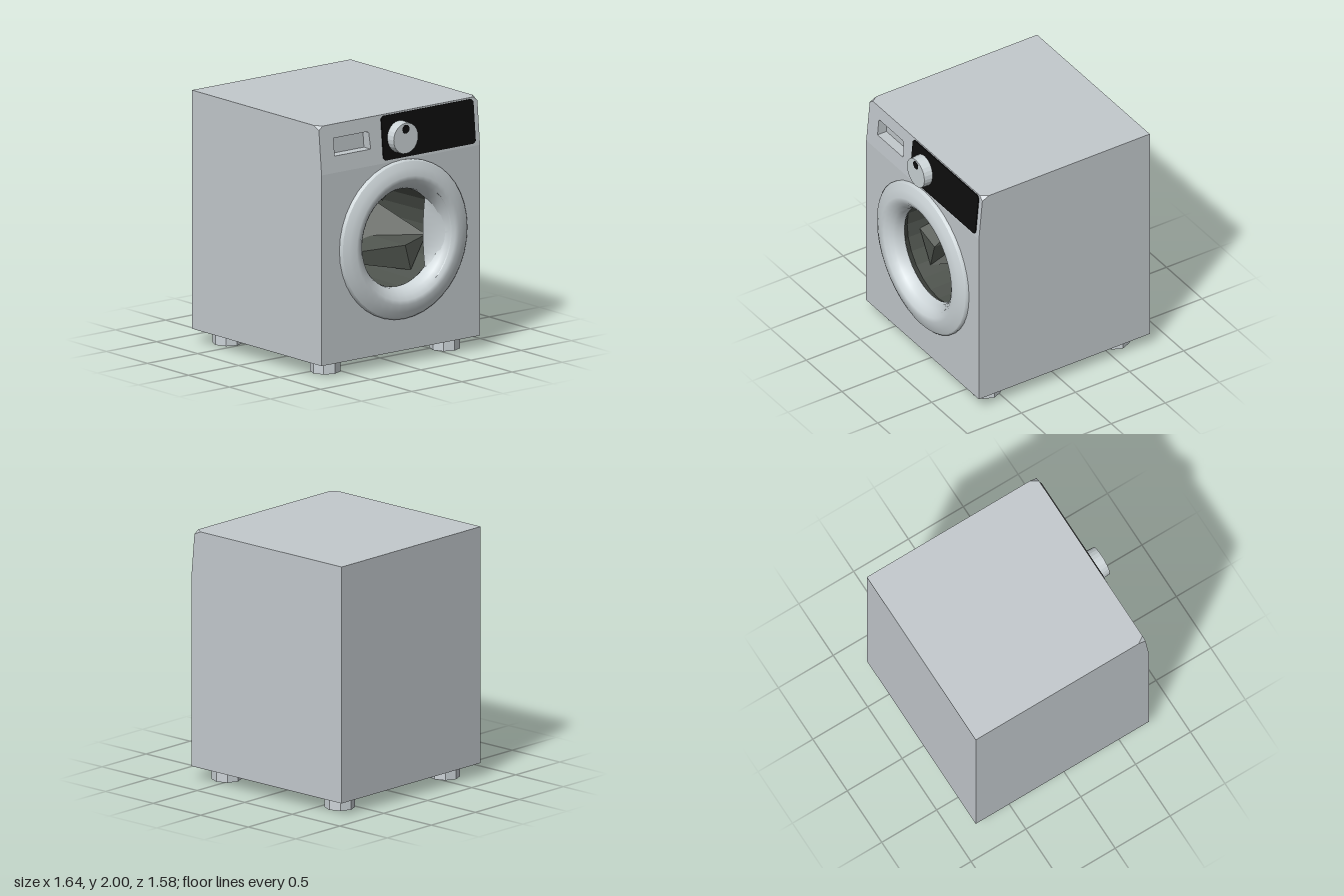
import * as THREE from 'three';

const mat = (name, color, extra = {}) => new THREE.MeshStandardMaterial({ name, color, ...extra });

export function createModel() {
  const bodyGrey = mat('bodyGrey', 0xc3c9cd, { flatShading: true });
  const trimGrey = mat('trimGrey', 0xccd4d7, { side: THREE.DoubleSide });
  const footGrey = mat('footGrey', 0xccd3d7, { flatShading: true });
  const black = mat('panelBlack', 0x0d0d0d);
  const drumGrey = mat('drumGrey', 0x4d524c, { flatShading: true, side: THREE.DoubleSide });

  // Built facing +z, then turned so the door faces +x
  const machine = new THREE.Group();
  machine.name = 'washingMachine';
  const add = (name, geo, material, x = 0, y = 0, z = 0, parent = machine) => {
    const m = new THREE.Mesh(geo, material);
    m.name = name;
    m.position.set(x, y, z);
    parent.add(m);
    return m;
  };
  const poly = (pts) => new THREE.Shape(pts.map(([x, y]) => new THREE.Vector2(x, y)));
  const extrude = (shape, depth, curveSegments = 24) =>
    new THREE.ExtrudeGeometry(shape, { depth, bevelEnabled: false, curveSegments });

  const W = 0.79, BACK = -0.825, FRONT = 0.755, BREAK = 1.62;
  const CX = 0.02, CY = 0.99; // door centre

  // Lower cabinet with the drum opening
  const lower = poly([[-W, 0.105], [W, 0.105], [W, BREAK], [-W, BREAK]]);
  lower.holes.push(new THREE.Path().absarc(CX, CY, 0.5, 0, Math.PI * 2, true));
  add('lowerCabinet', extrude(lower, FRONT - BACK - 0.01), bodyGrey, 0, 0, BACK + 0.01);
  add('backPanel', new THREE.BoxGeometry(W * 2, BREAK - 0.105, 0.01), bodyGrey,
    0, (BREAK + 0.105) / 2, BACK + 0.005);

  // Upper cabinet
  const slabZ = 0.66;
  add('upperCabinet', new THREE.BoxGeometry(W * 2, 2 - BREAK, slabZ - BACK), bodyGrey,
    0, (2 + BREAK) / 2, (slabZ + BACK) / 2);

  // Leaning fascia with clipped top corners and the drawer pocket
  const fascia = poly([[-W, BREAK], [W, BREAK], [W, 1.97], [0.75, 2], [-0.75, 2], [-W, 1.97]]);
  fascia.holes.push(poly([[-0.65, 1.75], [-0.65, 1.89], [-0.32, 1.89], [-0.3, 1.88], [-0.29, 1.75]]));
  const fasciaGeo = extrude(fascia, FRONT - slabZ);
  const p = fasciaGeo.attributes.position;
  for (let i = 0; i < p.count; i++) {
    const x = p.getX(i), y = p.getY(i);
    if (p.getZ(i) > 0.01) p.setZ(i, FRONT - slabZ - (y - BREAK) * 0.092);
    else if (y > 1.96) p.setXY(i, Math.sign(x) * W, 2);
  }
  fasciaGeo.computeVertexNormals();
  add('fascia', fasciaGeo, bodyGrey, 0, 0, slabZ);

  // Control panel
  const panel = poly([[-0.175, 0.04], [-0.155, 0.02], [0.725, 0.02], [0.745, 0.04],
    [0.745, 0.35], [0.725, 0.37], [-0.155, 0.37], [-0.175, 0.35]]);
  add('controlPanel', extrude(panel, 0.008), black, 0, BREAK, FRONT).rotation.x = -Math.atan(0.092);

  // Dial with its marker dot
  const dial = new THREE.CylinderGeometry(0.122, 0.127, 0.095, 24).rotateX(Math.PI / 2);
  add('dial', dial, mat('dialGrey', 0xccd4d7, { flatShading: true }), 0, 1.805, 0.7705);
  add('dialMarker', new THREE.CylinderGeometry(0.035, 0.035, 0.003, 12).rotateX(Math.PI / 2),
    black, 0, 1.878, 0.8185);

  // Door and drum share one axis
  const door = new THREE.Group();
  door.name = 'door';
  door.position.set(CX, CY, 0);
  machine.add(door);
  const lathe = (pts, seg) =>
    new THREE.LatheGeometry(pts.map(([r, z]) => new THREE.Vector2(r, z)), seg).rotateX(Math.PI / 2);

  add('doorRim', lathe([[0.632, 0.74], [0.632, 0.77], [0.62, 0.782]], 40), trimGrey, 0, 0, 0, door);
  add('doorRing', lathe([[0.62, 0.782], [0.57, 0.805], [0.51, 0.82], [0.475, 0.815],
    [0.44, 0.79], [0.415, 0.765], [0.395, 0.73], [0.39, 0.68]], 40), trimGrey, 0, 0, 0, door);

  // Hand scoop bridging the ring on the opening side
  const N = 12, A = 50 * Math.PI / 180, verts = [], index = [];
  for (let i = 0; i <= N; i++) {
    const a = -A + 2 * A * i / N, s = Math.sin(a) / Math.sin(A);
    const inner = [0.262 + 0.02 * s * s, 0.285 * s, 0.68];
    const outer = [0.45 * Math.cos(a), 0.45 * Math.sin(a), 0.8];
    const mid = [0, 1].map((k) => inner[k] * 0.4 + outer[k] * 0.6);
    verts.push(...inner, ...mid, 0.725, ...outer);
    if (i < N) for (let k = 0; k < 2; k++) {
      const q = i * 3 + k;
      index.push(q, q + 1, q + 3, q + 1, q + 4, q + 3);
    }
  }
  const scoop = new THREE.BufferGeometry();
  scoop.setAttribute('position', new THREE.Float32BufferAttribute(verts, 3));
  scoop.setIndex(index);
  scoop.computeVertexNormals();
  add('handleScoop', scoop, trimGrey, 0, 0, 0, door);

  // Drum and its three lifters, which widen toward the back
  add('drum', lathe([[0.39, 0.68], [0.44, 0.62], [0.42, -0.3], [0, -0.3]], 24), drumGrey, 0, 0, 0, door);
  const lifter = extrude(poly([[-0.15, 0.41], [0, 0.26], [0.15, 0.41]]), 0.8);
  const lp = lifter.attributes.position;
  for (let i = 0; i < lp.count; i++) {
    const x = lp.getX(i);
    if (lp.getZ(i) < 0.01 && x !== 0) lp.setXY(i, Math.sign(x) * 0.33, 0.12);
  }
  lifter.computeVertexNormals();
  for (let i = 0; i < 3; i++)
    add('drumLifter', lifter, drumGrey, 0, 0, -0.29, door).rotation.z = i * Math.PI * 2 / 3;

  // Feet
  const foot = new THREE.CylinderGeometry(0.118, 0.118, 0.105, 8);
  for (const x of [-0.597, 0.597])
    for (const z of [-0.628, 0.562]) add('foot', foot, footGrey, x, 0.0525, z);

  machine.rotation.y = Math.PI / 2;
  const model = new THREE.Group();
  model.name = 'model';
  model.add(machine);
  return model;
}
